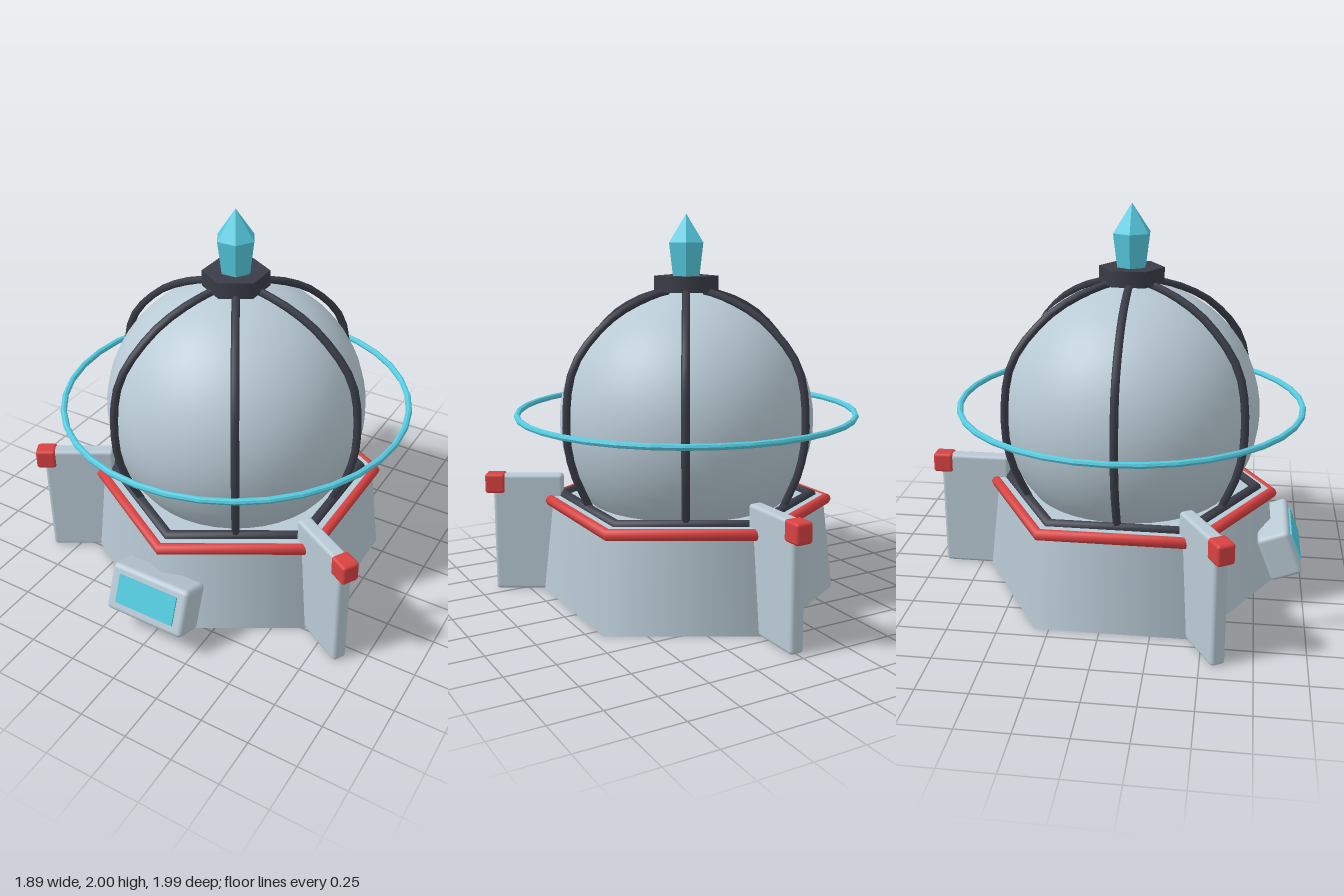
import * as THREE from 'three';
import { RoundedBoxGeometry } from 'three/addons/geometries/RoundedBoxGeometry.js';

const material = (name, color, flatShading = false) => {
  const m = new THREE.MeshStandardMaterial({ color, flatShading });
  m.name = name;
  return m;
};

export function createModel() {
  const shell = material('pale steel', 0xb9cad5);
  const dark = material('dark iron', 0x3a3d48);
  const red = material('red trim', 0xd94141);
  const cyan = material('cyan crystal', 0x55cbe0, true);

  const model = new THREE.Group();
  model.name = 'domeStation';
  const body = new THREE.Group();
  body.name = 'body';
  body.position.z = 0.075;
  model.add(body);

  const add = (name, geometry, mat, parent = body, x = 0, y = 0, z = 0) => {
    const mesh = new THREE.Mesh(geometry, mat);
    mesh.name = name;
    mesh.position.set(x, y, z);
    parent.add(mesh);
    return mesh;
  };
  // Horizontal torus; six segments give a hexagon with corners on the z axis
  const hoop = (name, radius, tube, segments, mat, y) => {
    const g = new THREE.TorusGeometry(radius, tube, 8, segments);
    g.rotateX(Math.PI / 2).rotateY(Math.PI / 2);
    return add(name, g, mat, body, 0, y, 0);
  };

  // Hexagonal base with trim
  add('base', new THREE.CylinderGeometry(0.73, 0.79, 0.52, 6), shell, body, 0, 0.26, 0);
  hoop('baseTrim', 0.745, 0.03, 6, red, 0.495);
  hoop('domeCollar', 0.665, 0.03, 6, dark, 0.518);

  // Dome and its six ribs
  add('dome', new THREE.SphereGeometry(0.667, 40, 28), shell, body, 0, 0.935, 0);
  const ribPath = new THREE.CatmullRomCurve3([
    [0.57, 0.53], [0.655, 0.73], [0.686, 0.94], [0.64, 1.25],
    [0.46, 1.46], [0.28, 1.56], [0.11, 1.61],
  ].map(([x, y]) => new THREE.Vector3(x, y, 0)));
  const ribGeometry = new THREE.TubeGeometry(ribPath, 16, 0.02, 6);
  for (let i = 0; i < 6; i++) {
    add('rib', ribGeometry, dark).rotation.y = i * Math.PI / 3;
  }

  // Cap and crystal
  add('cap', new THREE.CylinderGeometry(0.166, 0.166, 0.08, 6), dark, body, 0, 1.645, 0);
  const crystal = new THREE.LatheGeometry([
    new THREE.Vector2(0, 1.68), new THREE.Vector2(0.078, 1.68),
    new THREE.Vector2(0.101, 1.855), new THREE.Vector2(0, 2),
  ], 6, Math.PI / 6);
  add('crystal', crystal, cyan);

  // Floating halo
  hoop('halo', 0.885, 0.016, 36, cyan, 0.975);

  // Three buttress fins with red tips: one at the back, two towards the front
  const finGeometry = new RoundedBoxGeometry(0.075, 0.635, 0.37, 2, 0.018);
  const tipGeometry = new RoundedBoxGeometry(0.092, 0.105, 0.105, 2, 0.015);
  for (let i = 0; i < 3; i++) {
    const fin = new THREE.Group();
    fin.name = 'buttress';
    fin.rotation.y = Math.PI + i * Math.PI * 2 / 3;
    body.add(fin);
    add('fin', finGeometry, shell, fin, 0, 0.3175, 0.845);
    add('finTip', tipGeometry, red, fin, 0, 0.587, 1.02);
  }

  // Tilted front console
  const console = new THREE.Group();
  console.name = 'console';
  console.position.set(0, 0.232, 0.8);
  console.rotation.x = -0.37;
  body.add(console);
  add('consoleBox', new RoundedBoxGeometry(0.445, 0.25, 0.17, 2, 0.025), shell, console);
  add('screen', new THREE.BoxGeometry(0.335, 0.15, 0.009), cyan, console, 0, 0.005, 0.089);

  return model;
}
